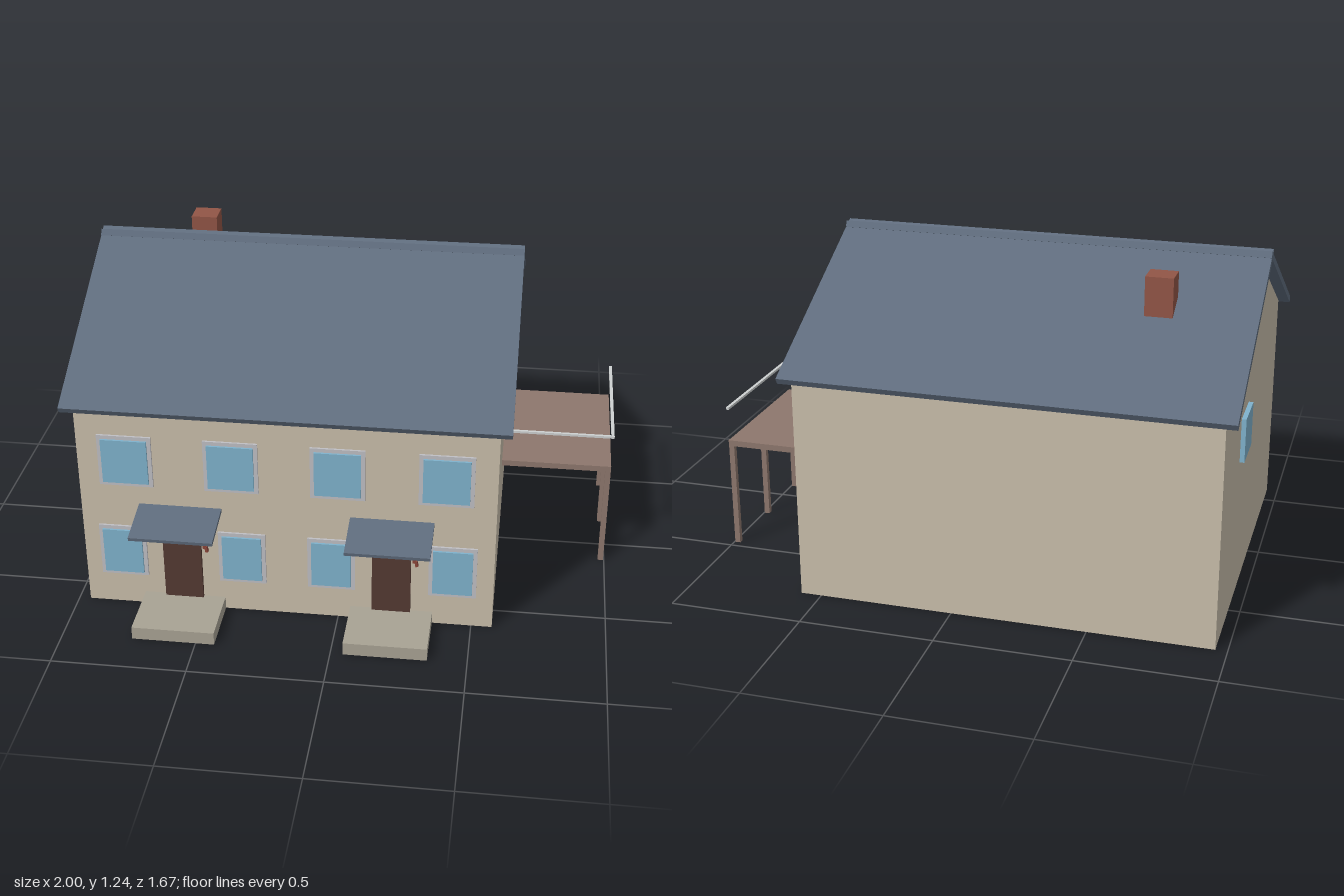
import * as THREE from 'three';

const mat = (name, color) => {
  const m = new THREE.MeshStandardMaterial({ color });
  m.name = name;
  return m;
};

export function createModel() {
  const wall = mat('wall render', 0xc8bdaa);
  const slate = mat('roof slate', 0x5f6c7d);
  const glass = mat('window glass', 0x7fb2cc);
  const frame = mat('window frame', 0xbfbfc4);
  const door = mat('door wood', 0x533932);
  const stone = mat('step stone', 0xa8a294);
  const brick = mat('chimney brick', 0x915546);
  const timber = mat('carport timber', 0x8d776d);
  const rail = mat('rail metal', 0xcdd0d0);
  const handle = mat('handle', 0x8a4438);

  const house = new THREE.Group();
  house.name = 'house';

  // box given by its minimum and maximum corners
  const box = (name, m, [x0, y0, z0], [x1, y1, z1]) => {
    const mesh = new THREE.Mesh(new THREE.BoxGeometry(x1 - x0, y1 - y0, z1 - z0), m);
    mesh.position.set((x0 + x1) / 2, (y0 + y1) / 2, (z0 + z1) / 2);
    mesh.name = name;
    house.add(mesh);
    return mesh;
  };

  // side profile of [z, y] points drawn out from x0 to x1
  const prism = (name, m, points, x0, x1) => {
    const shape = new THREE.Shape(points.map(([z, y]) => new THREE.Vector2(-z, y)));
    const geo = new THREE.ExtrudeGeometry(shape, { depth: x1 - x0, bevelEnabled: false });
    geo.rotateY(Math.PI / 2).translate(x0, 0, 0);
    const mesh = new THREE.Mesh(geo, m);
    mesh.name = name;
    house.add(mesh);
  };

  // gabled body
  const ridgeZ = -0.095;
  prism('walls', wall,
    [[0.605, 0], [0.605, 0.841], [ridgeZ, 1.203], [-0.795, 0.841], [-0.795, 0]], -0.957, 0.578);

  // two roof slabs crossing at the ridge
  const slab = [[0.738, 0.85], [-0.017, 1.241], [-0.029, 1.219], [0.726, 0.828]];
  for (const s of [1, -1]) {
    prism(s > 0 ? 'frontRoof' : 'backRoof', slate,
      slab.map(([z, y]) => [ridgeZ + s * z, y]), -1, 0.62);
  }
  box('chimney', brick, [-0.703, 0.98, -0.425], [-0.602, 1.205, -0.328]);

  // front windows: frame plate with raised glass
  const frontWindow = (x, y, w, h) => {
    const f = 0.015;
    box('windowFrame', frame, [x - w / 2 - f, y - h / 2 - f, 0.6], [x + w / 2 + f, y + h / 2 + f, 0.613]);
    box('windowGlass', glass, [x - w / 2, y - h / 2, 0.6], [x + w / 2, y + h / 2, 0.621]);
  };
  for (const x of [-0.778, -0.388, 0.002, 0.395]) frontWindow(x, 0.628, 0.17, 0.178);

  // gable windows
  box('leftGableWindow', glass, [0.57, 0.537, -0.395], [0.591, 0.702, -0.215]);
  box('rightGableWindow', glass, [-0.974, 0.537, -0.395], [-0.95, 0.702, -0.215]);

  // two matching entrances
  for (const x of [-0.584, 0.2]) {
    frontWindow(x - 0.224, 0.238, 0.147, 0.185);
    frontWindow(x + 0.226, 0.238, 0.147, 0.185);
    box('door', door, [x - 0.072, 0.05, 0.6], [x + 0.072, 0.345, 0.618]);
    box('step', stone, [x - 0.154, 0, 0.605], [x + 0.154, 0.05, 0.835]);
    prism('doorCanopy', slate,
      [[0.603, 0.432], [0.603, 0.446], [0.787, 0.413], [0.785, 0.4]], x - 0.154, x + 0.154);
    box('handlePlate', handle, [x + 0.078, 0.272, 0.6], [x + 0.09, 0.29, 0.618]);
    box('handleGrip', handle, [x + 0.087, 0.257, 0.603], [x + 0.097, 0.28, 0.62]).rotation.z = 0.2;
  }

  // carport with three posts and an L-shaped rail above
  box('carportRoof', timber, [0.578, 0.41, -0.47], [0.997, 0.433, 0.113]);
  for (const z of [0.103, -0.178, -0.459]) {
    box('carportPost', timber, [0.976, 0, z - 0.01], [0.997, 0.41, z + 0.01]);
  }
  box('sideRail', rail, [0.988, 0.559, -0.47], [1, 0.568, 0.115]);
  box('frontRail', rail, [0.578, 0.559, 0.104], [0.988, 0.568, 0.115]);

  return house;
}
